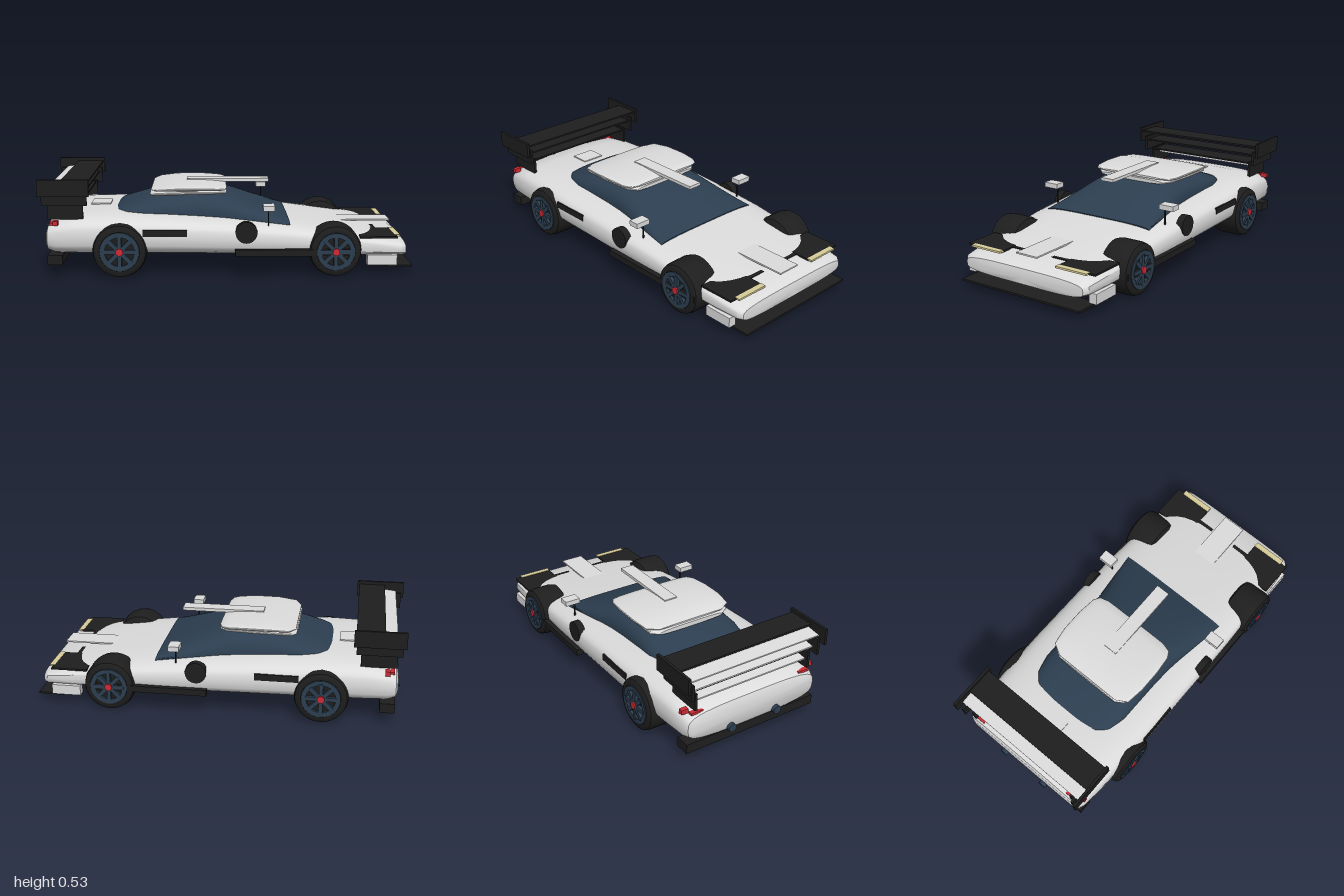
import * as THREE from 'three';
import { toCreasedNormals } from 'three/addons/utils/BufferGeometryUtils.js';

const paint = (name, color) => {
  const m = new THREE.MeshStandardMaterial({ color });
  m.name = name;
  return m;
};

// Loft superellipse sections along x. Station: [x, half width, bottom y, top y].
function loft(stations, n, half = false, seg = 40) {
  const pos = [], idx = [];
  const pw = (v) => Math.sign(v) * Math.abs(v) ** (2 / n);
  for (const [x, w, y0, y1] of stations) {
    for (let j = 0; j < seg; j++) {
      const a = half ? (j / (seg - 1)) * Math.PI : (j / seg) * Math.PI * 2;
      const s = pw(Math.sin(a));
      pos.push(x, half ? y0 + (y1 - y0) * s : (y0 + y1) / 2 + ((y1 - y0) / 2) * s, w * pw(Math.cos(a)));
    }
  }
  const last = stations.length - 1;
  for (let i = 0; i < last; i++) {
    for (let j = 0; j < seg; j++) {
      const k = (j + 1) % seg, a = i * seg, b = a + seg;
      idx.push(a + j, b + j, a + k, b + j, b + k, a + k);
    }
  }
  // end caps
  for (const i of [0, last]) {
    const [x, , y0, y1] = stations[i], c = pos.length / 3;
    pos.push(x, (y0 + y1) / 2, 0);
    for (let j = 0; j < seg; j++) {
      const p = i * seg + j, q = i * seg + ((j + 1) % seg);
      if (i === 0) idx.push(c, p, q); else idx.push(c, q, p);
    }
  }
  const g = new THREE.BufferGeometry();
  g.setAttribute('position', new THREE.Float32BufferAttribute(pos, 3));
  g.setIndex(idx);
  return toCreasedNormals(g, 0.55);
}

export function createModel() {
  const car = new THREE.Group();
  car.name = 'raceCar';
  const white = paint('whitePaint', 0xdcdcdc);
  const black = paint('blackTrim', 0x1e1e1e);
  const navy = paint('navyGlass', 0x2c3e50);
  const red = paint('redLight', 0xd02a35);
  const cream = paint('creamLamp', 0xd8cc98);

  const add = (name, geo, mat, parent = car) => {
    const m = new THREE.Mesh(geo, mat);
    m.name = name;
    parent.add(m);
    return m;
  };
  // Box given by its extents
  const box = (name, mat, x0, x1, y0, y1, z0, z1, parent = car) => {
    const m = add(name, new THREE.BoxGeometry(x1 - x0, y1 - y0, z1 - z0), mat, parent);
    m.position.set((x0 + x1) / 2, (y0 + y1) / 2, (z0 + z1) / 2);
    return m;
  };
  // The same box on both sides of the car
  const pair = (name, mat, x0, x1, y0, y1, z0, z1) => {
    box(name + 'Left', mat, x0, x1, y0, y1, z0, z1);
    box(name + 'Right', mat, x0, x1, y0, y1, -z1, -z0);
  };

  // Body shell
  add('body', loft([
    [-0.97, 0.37, 0.14, 0.26], [-0.96, 0.395, 0.12, 0.285], [-0.92, 0.41, 0.105, 0.31],
    [-0.8, 0.42, 0.1, 0.33], [-0.6, 0.43, 0.1, 0.333], [-0.35, 0.435, 0.1, 0.325],
    [0, 0.435, 0.098, 0.305], [0.34, 0.43, 0.094, 0.278], [0.6, 0.42, 0.09, 0.243],
    [0.8, 0.41, 0.088, 0.215], [0.94, 0.395, 0.088, 0.19], [0.965, 0.375, 0.09, 0.175],
    [0.97, 0.285, 0.098, 0.155],
  ], 3.6), white);

  // Glass canopy
  add('canopy', loft([
    [-0.61, 0.19, 0.3, 0.332], [-0.59, 0.235, 0.3, 0.345], [-0.54, 0.265, 0.3, 0.36],
    [-0.44, 0.285, 0.3, 0.39], [-0.32, 0.285, 0.29, 0.42], [-0.18, 0.285, 0.28, 0.433],
    [-0.06, 0.29, 0.275, 0.425], [0.03, 0.3, 0.27, 0.402], [0.2, 0.325, 0.262, 0.34],
    [0.34, 0.342, 0.26, 0.283],
  ], 3, true), navy);

  // Layered roof
  add('lowerRoof', loft([
    [-0.42, 0.2, 0.4, 0.425], [-0.39, 0.25, 0.4, 0.437], [-0.2, 0.26, 0.405, 0.445],
    [-0.04, 0.25, 0.41, 0.44], [0, 0.21, 0.41, 0.43],
  ], 3), white);
  add('upperRoof', loft([
    [-0.415, 0.2, 0.432, 0.44], [-0.38, 0.265, 0.43, 0.452], [-0.28, 0.28, 0.43, 0.465],
    [-0.15, 0.28, 0.43, 0.467], [-0.05, 0.27, 0.43, 0.46], [-0.015, 0.25, 0.432, 0.455],
    [0, 0.2, 0.436, 0.448],
  ], 3), white);
  box('roofScoop', white, -0.22, 0.24, 0.452, 0.474, -0.04, 0.04).scale.y = 0.8;

  // Bonnet: raised spine, dark vents and lamps
  box('bonnetSpine', white, 0.55, 0.93, 0.23, 0.238, -0.067, 0.067);
  box('rearDeckPlate', white, -0.76, -0.65, 0.328, 0.338, -0.067, 0.067);
  pair('bonnetPanel', black, 0.71, 0.91, 0.204, 0.214, 0.18, 0.41);
  pair('bonnetVent', black, 0.75, 0.83, 0.204, 0.213, 0.08, 0.18);
  pair('headlamp', cream, 0.9, 0.93, 0.206, 0.216, 0.18, 0.37);

  // Lower aero parts
  box('frontSplitter', black, 0.86, 1, 0.04, 0.05, -0.38, 0.38);
  pair('frontDuct', white, 0.75, 0.91, 0.06, 0.115, 0.37, 0.415);
  box('rearDiffuser', black, -0.96, -0.88, 0.065, 0.118, -0.4, 0.4);
  pair('sideSkirt', black, 0.04, 0.7, 0.12, 0.155, 0.415, 0.455);
  pair('sideVent', black, -0.45, -0.215, 0.224, 0.26, 0.39, 0.436);
  pair('tailLight', red, -0.925, -0.9, 0.28, 0.305, 0.37, 0.41);
  pair('tailLightBar', red, -0.95, -0.925, 0.275, 0.288, 0.3, 0.37);
  pair('mirror', white, 0.19, 0.25, 0.358, 0.386, 0.345, 0.432);
  pair('mirrorStalk', black, 0.217, 0.223, 0.26, 0.36, 0.36, 0.368);

  for (const s of [1, -1]) {
    const intake = add('sideIntake', new THREE.CylinderGeometry(0.058, 0.058, 0.04, 28), black);
    intake.rotation.x = Math.PI / 2;
    intake.position.set(0.1, 0.243, s * 0.416);
    const pipe = add('exhaust', new THREE.CylinderGeometry(0.023, 0.023, 0.05, 20), navy);
    pipe.rotation.z = Math.PI / 2;
    pipe.position.set(-0.965, 0.137, s * 0.142);
  }

  // Rear wing: stepped end plates and stacked blades
  pair('upperEndPlate', black, -1, -0.73, 0.44, 0.53, 0.412, 0.427);
  pair('middleEndPlate', black, -0.985, -0.745, 0.385, 0.473, 0.38, 0.395);
  pair('lowerEndPlate', black, -0.96, -0.77, 0.305, 0.4, 0.344, 0.358);
  box('topBlade', black, -0.89, -0.74, 0.501, 0.511, -0.415, 0.415);
  const blade = box('topFlap', white, -0.955, -0.84, 0.477, 0.485, -0.413, 0.413);
  blade.rotation.z = 0.12;
  box('middleBlade', black, -0.9, -0.76, 0.445, 0.454, -0.382, 0.382);
  box('middleFlap', white, -0.95, -0.83, 0.419, 0.428, -0.382, 0.382).rotation.z = 0.12;
  box('lowerBlade', black, -0.92, -0.78, 0.385, 0.394, -0.346, 0.346);
  box('lowerFlap', white, -0.94, -0.84, 0.352, 0.361, -0.346, 0.346).rotation.z = 0.12;

  // Wheels
  const profile = [[0, -0.088], [0.12, -0.088], [0.138, -0.078], [0.145, -0.05], [0.145, 0.05],
    [0.138, 0.078], [0.122, 0.088], [0.106, 0.088], [0.1, 0.076], [0, 0.076]];
  const tyreGeo = toCreasedNormals(
    new THREE.LatheGeometry(profile.map(([r, y]) => new THREE.Vector2(r, y)), 40), 0.6).rotateX(Math.PI / 2);
  const rimShape = new THREE.Shape().absarc(0, 0, 0.104, 0, Math.PI * 2);
  rimShape.holes.push(new THREE.Path().absarc(0, 0, 0.078, 0, Math.PI * 2, true));
  const rimGeo = new THREE.ExtrudeGeometry(rimShape, { depth: 0.016, bevelEnabled: false, curveSegments: 32 });

  for (const [x, r] of [[-0.572, 0.145], [0.575, 0.14]]) {
    for (const s of [1, -1]) {
      const wheel = new THREE.Group();
      wheel.name = (x > 0 ? 'front' : 'rear') + 'Wheel' + (s > 0 ? 'Left' : 'Right');
      add('tyre', tyreGeo, black, wheel);
      add('rim', rimGeo, navy, wheel).position.z = 0.075;
      for (let i = 0; i < 4; i++) {
        const spoke = box('spoke', navy, -0.085, 0.085, -0.011, 0.011, 0.074, 0.094, wheel);
        spoke.rotation.z = (i * Math.PI) / 4;
      }
      const hub = add('hub', new THREE.CylinderGeometry(0.02, 0.02, 0.03, 20), red, wheel);
      hub.rotation.x = Math.PI / 2;
      hub.position.z = 0.087;
      wheel.position.set(x, r + 0.003, s * 0.3675);
      wheel.scale.set(r / 0.145, r / 0.145, 1);
      if (s < 0) wheel.rotation.y = Math.PI;
      car.add(wheel);
    }
  }
  return car;
}
